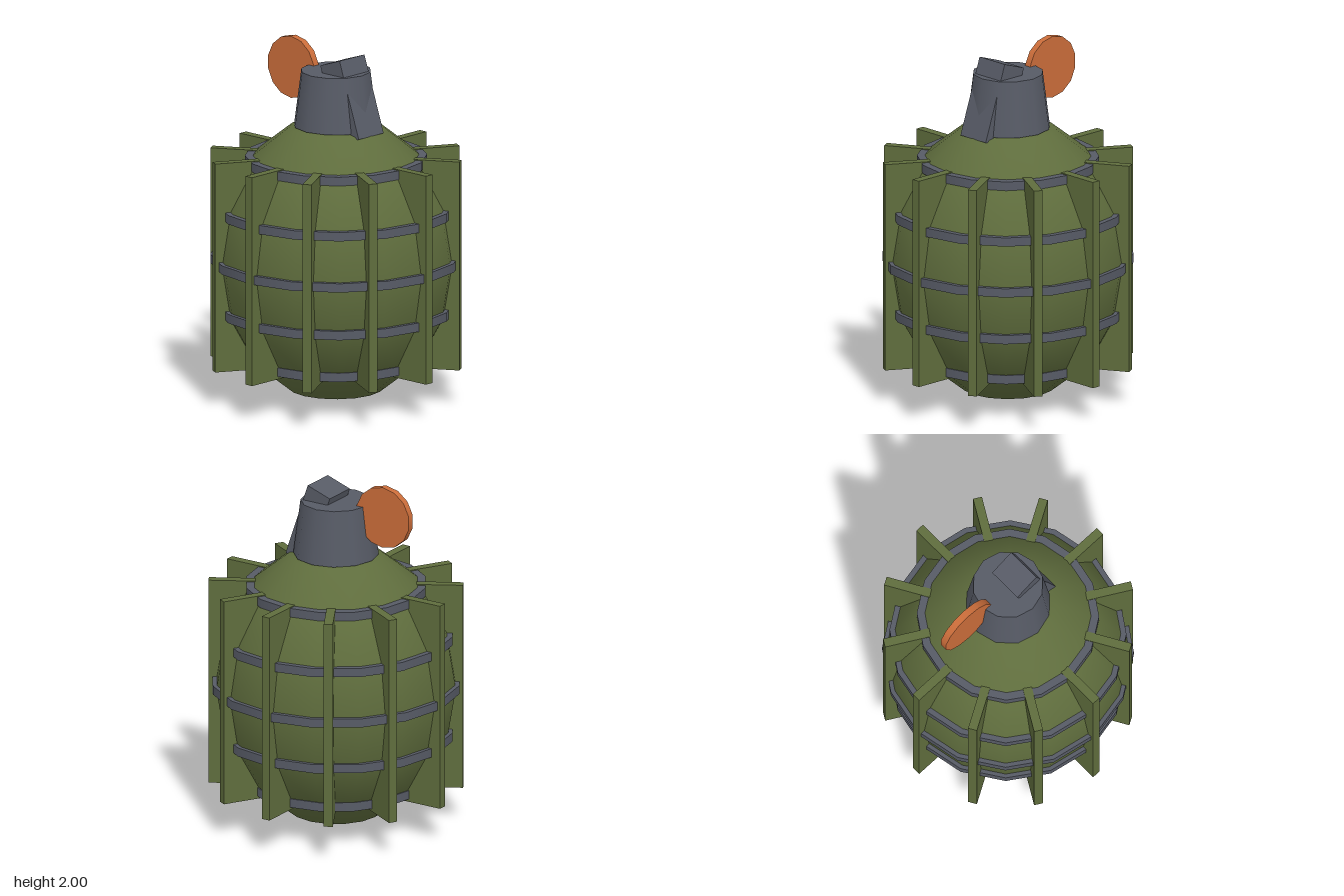
import * as THREE from 'three';

export function createModel() {
  const olive = new THREE.MeshStandardMaterial({ name: 'olive', color: 0x5f6d3d });
  const gray = new THREE.MeshStandardMaterial({ name: 'slateGray', color: 0x575b66 });
  const orange = new THREE.MeshStandardMaterial({ name: 'copperOrange', color: 0xcb6d3a });

  const model = new THREE.Group();
  model.name = 'grenade';
  const add = (name, geometry, material, parent = model) => {
    const mesh = new THREE.Mesh(geometry, material);
    mesh.name = name;
    parent.add(mesh);
    return mesh;
  };

  // Egg-shaped shell
  const shell = add('shell', new THREE.SphereGeometry(1, 16, 8), olive);
  shell.scale.set(0.67, 0.8, 0.67);
  shell.position.y = 0.8;

  // Horizontal bands: [height, radius]
  const bands = new THREE.Group();
  bands.name = 'bands';
  model.add(bands);
  for (const [y, r] of [[0.245, 0.5], [0.52, 0.65], [0.8, 0.69], [1.08, 0.65], [1.355, 0.5]]) {
    add('band', new THREE.CylinderGeometry(r, r, 0.05, 16), gray, bands).position.y = y;
  }

  // Twelve upright radial fins
  const fins = new THREE.Group();
  fins.name = 'fins';
  model.add(fins);
  const finGeometry = new THREE.BoxGeometry(0.27, 1.18, 0.05).translate(0.565, 0.795, 0);
  for (let i = 0; i < 12; i++) {
    add('fin', finGeometry, olive, fins).rotation.y = (i * Math.PI) / 6;
  }

  // Tapered neck
  add('neck', new THREE.CylinderGeometry(0.195, 0.235, 0.31, 12), gray).position.y = 1.705;

  // Lever slanting through the neck and out of its left side
  const lever = add('lever', new THREE.BoxGeometry(0.153, 0.444, 0.2), gray);
  lever.position.set(0.12, 1.715, 0);
  lever.rotation.z = 0.332;

  // Flat pull disc, with one corner pointing up
  const disc = new THREE.CylinderGeometry(0.175, 0.175, 0.04, 14);
  disc.rotateX(-Math.PI / 2);
  if (disc.attributes.position.getY(0) < 0) disc.rotateZ(Math.PI);
  add('pullDisc', disc, orange).position.set(-0.32, 1.825, 0);

  return model;
}
